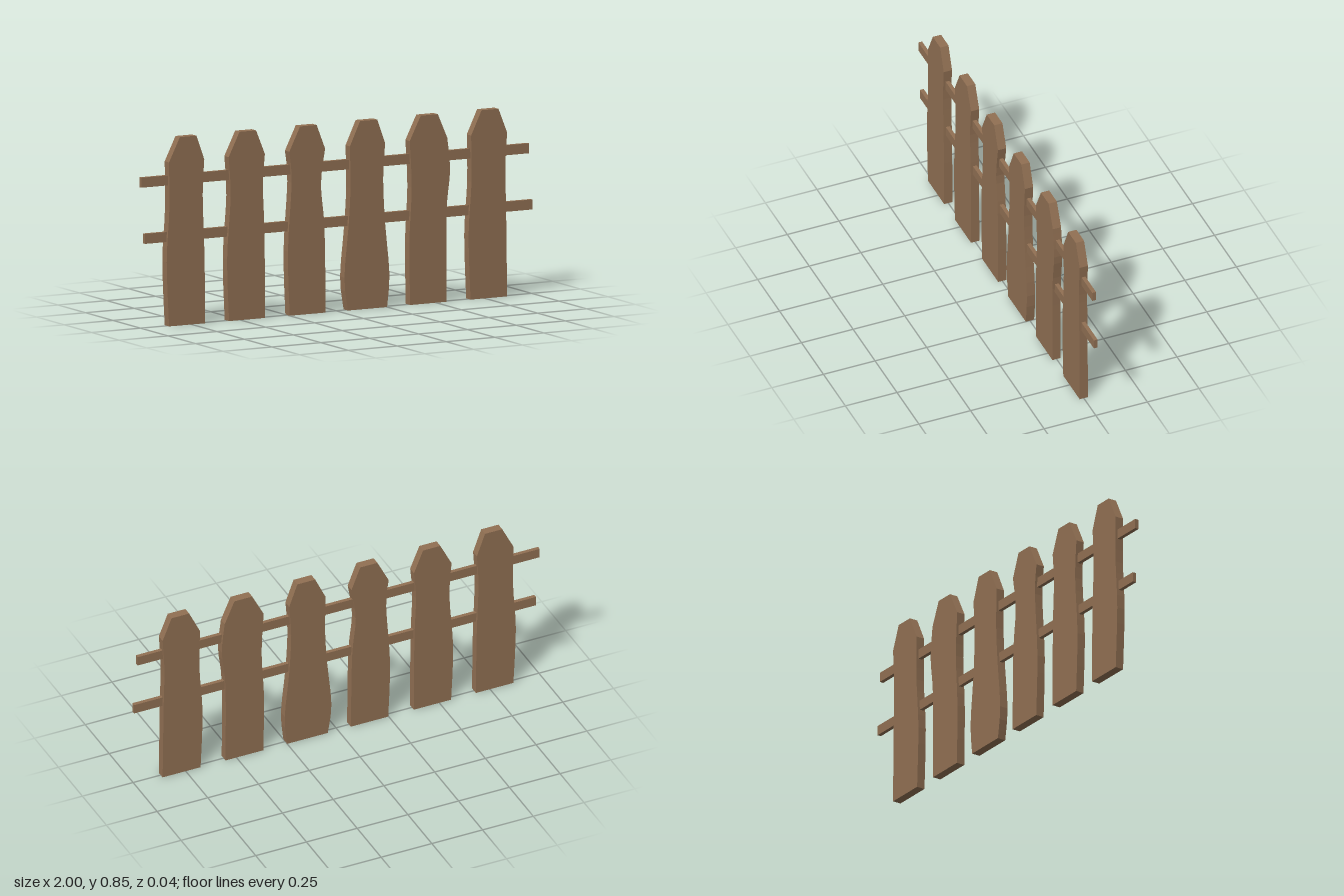
import * as THREE from 'three';

const HEIGHT = 0.85, SHOULDER = 0.74, DEPTH = 0.04;

// Each picket: tip = [left, right] at the flat top; sides = [x, y] from shoulder down to the ground
const PICKETS = [
  { tip: [-0.81, -0.725],
    left: [[-0.865, SHOULDER], [-0.864, 0.52], [-0.877, 0.29], [-0.865, 0]],
    right: [[-0.685, SHOULDER], [-0.693, 0.58], [-0.684, 0.31], [-0.68, 0]] },
  { tip: [-0.505, -0.42],
    left: [[-0.56, SHOULDER], [-0.55, 0.56], [-0.568, 0.28], [-0.558, 0]],
    right: [[-0.375, SHOULDER], [-0.385, 0.6], [-0.377, 0.38], [-0.374, 0]] },
  { tip: [-0.195, -0.11],
    left: [[-0.25, SHOULDER], [-0.238, 0.6], [-0.257, 0.29], [-0.248, 0]],
    right: [[-0.067, SHOULDER], [-0.088, 0.58], [-0.07, 0.38], [-0.064, 0]] },
  { tip: [0.112, 0.2],
    left: [[0.06, SHOULDER], [0.063, 0.55], [0.053, 0.38], [0.032, 0.15], [0.05, 0]],
    right: [[0.24, SHOULDER], [0.23, 0.58], [0.24, 0.38], [0.262, 0.15], [0.25, 0]] },
  { tip: [0.422, 0.51],
    left: [[0.366, SHOULDER], [0.376, 0.53], [0.364, 0.28], [0.368, 0]],
    right: [[0.558, SHOULDER], [0.572, 0.59], [0.554, 0.4], [0.554, 0]] },
  { tip: [0.733, 0.82],
    left: [[0.68, SHOULDER], [0.682, 0.53], [0.667, 0.29], [0.677, 0]],
    right: [[0.864, SHOULDER], [0.855, 0.58], [0.859, 0.38], [0.864, 0]] },
];

const RAILS = [
  { name: 'upperRail', x0: -1, x1: 0.982, y0: 0.635, y1: 0.68 },
  { name: 'lowerRail', x0: -0.982, x1: 1, y0: 0.38, y1: 0.425 },
];

// Wavy edge through a few points
function edge(points) {
  const curve = new THREE.SplineCurve(points.map(([x, y]) => new THREE.Vector2(x, y)));
  return curve.getPoints(12);
}

function picketGeometry({ tip, left, right }) {
  const outline = [
    new THREE.Vector2(tip[0], HEIGHT),
    ...edge(left),
    ...edge(right).reverse(),
    new THREE.Vector2(tip[1], HEIGHT),
  ];
  const geometry = new THREE.ExtrudeGeometry(new THREE.Shape(outline), { depth: DEPTH, bevelEnabled: false });
  geometry.translate(0, 0, -DEPTH / 2);
  return geometry;
}

export function createModel() {
  const fence = new THREE.Group();
  fence.name = 'fence';
  const wood = new THREE.MeshStandardMaterial({ color: 0x917053 });
  wood.name = 'brown wood';

  // Upright boards with clipped tops
  PICKETS.forEach((picket, i) => {
    const mesh = new THREE.Mesh(picketGeometry(picket), wood);
    mesh.name = `picket${i + 1}`;
    fence.add(mesh);
  });

  // Thin rails running through the boards
  for (const { name, x0, x1, y0, y1 } of RAILS) {
    const mesh = new THREE.Mesh(new THREE.BoxGeometry(x1 - x0, y1 - y0, 0.018), wood);
    mesh.position.set((x0 + x1) / 2, (y0 + y1) / 2, 0);
    mesh.name = name;
    fence.add(mesh);
  }
  return fence;
}
